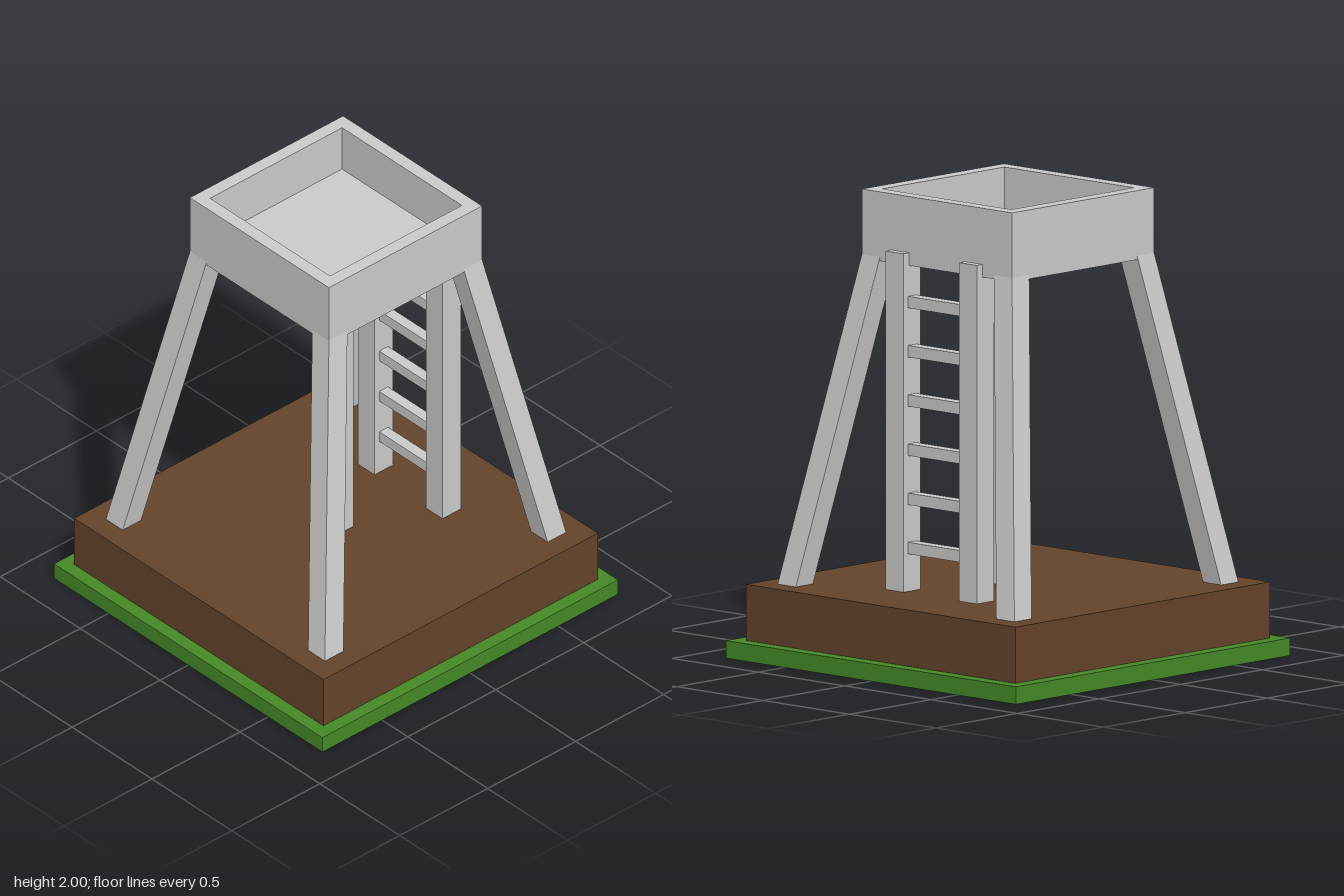
import * as THREE from 'three';

const paint = (color) => new THREE.MeshStandardMaterial({ color, flatShading: true });

export function createModel() {
  const model = new THREE.Group();
  const grey = paint(0xcccccc);
  const soil = paint(0x64432a);
  const grass = paint(0x458a26);

  const add = (name, geometry, material = grey, parent = model) => {
    const mesh = new THREE.Mesh(geometry, material);
    mesh.name = name;
    parent.add(mesh);
    return mesh;
  };

  // Box given by its extents on each axis
  const box = (x0, x1, y0, y1, z0, z1) =>
    new THREE.BoxGeometry(x1 - x0, y1 - y0, z1 - z0)
      .translate((x0 + x1) / 2, (y0 + y1) / 2, (z0 + z1) / 2);

  // Square slab centred on the vertical axis
  const slab = (half, y0, y1) => box(-half, half, y0, y1, -half, half);

  // Ground
  add('grassBase', slab(0.84, 0, 0.075), grass);
  add('soilBlock', slab(0.78, 0.075, 0.315), soil);

  // Open-topped platform: a square wall ring around a floor
  const square = (shape, h) => {
    shape.moveTo(-h, -h).lineTo(h, -h).lineTo(h, h).lineTo(-h, h).closePath();
    return shape;
  };
  const ring = square(new THREE.Shape(), 0.435);
  ring.holes.push(square(new THREE.Path(), 0.375));
  const platform = new THREE.Group();
  platform.name = 'platform';
  model.add(platform);
  add('platformWalls',
    new THREE.ExtrudeGeometry(ring, { depth: 0.295, bevelEnabled: false })
      .rotateX(-Math.PI / 2).translate(0, 1.705, 0), grey, platform);
  add('platformFloor', slab(0.375, 1.705, 1.785), grey, platform);

  // Splayed legs: upright boxes sheared inwards towards the platform
  const legs = new THREE.Group();
  legs.name = 'legs';
  model.add(legs);
  for (const sx of [-1, 1]) {
    for (const sz of [-1, 1]) {
      const leg = box(-0.0525, 0.0525, 0.27, 1.73, -0.0525, 0.0525);
      const p = leg.attributes.position;
      for (let i = 0; i < p.count; i++) {
        const offset = 0.633 - 0.178 * (p.getY(i) - 0.315);
        p.setX(i, p.getX(i) + sx * offset);
        p.setZ(i, p.getZ(i) + sz * offset);
      }
      leg.computeVertexNormals();
      add('leg', leg, grey, legs);
    }
  }

  // Central post
  add('centrePost', box(-0.052, 0.052, 0.3, 1.71, -0.052, 0.052));

  // Ladder on the left side
  const ladder = new THREE.Group();
  ladder.name = 'ladder';
  model.add(ladder);
  for (const z of [-0.2125, 0.2125]) {
    add('ladderRail', box(0.365, 0.47, 0.3, 1.76, z - 0.0515, z + 0.0515), grey, ladder);
  }
  for (let i = 0; i < 6; i++) {
    const y = 0.5 + i * 0.21;
    add('ladderRung', box(0.392, 0.442, y - 0.025, y + 0.025, -0.17, 0.17), grey, ladder);
  }

  return model;
}
